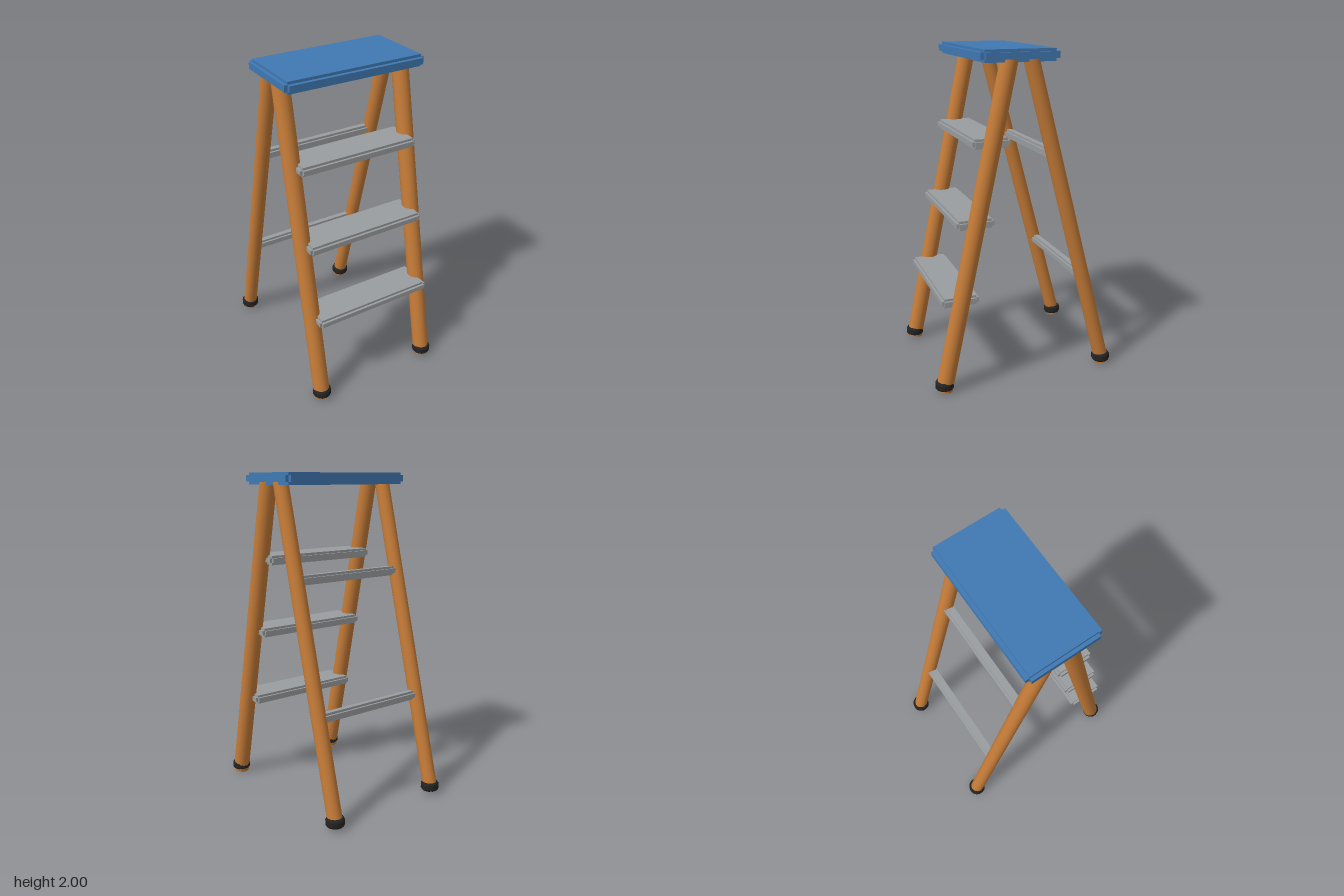
import * as THREE from 'three';

const mat = (name, color) => {
  const m = new THREE.MeshStandardMaterial({ color });
  m.name = name;
  return m;
};

export function createModel() {
  const wood = mat('orange wood', 0xc67c38);
  const blue = mat('blue seat', 0x4079b4);
  const grey = mat('grey tread', 0x9a9d9f);
  const rubber = mat('black rubber', 0x232323);
  const model = new THREE.Group();
  model.name = 'stepladder';

  // Board with stepped edges: three crossing boxes, each full size along one axis
  function board(name, size, step, position, material) {
    const group = new THREE.Group();
    group.name = name;
    for (let axis = 0; axis < 3; axis++) {
      const s = size.map((v, i) => (i === axis ? v : v - 2 * step[i]));
      const mesh = new THREE.Mesh(new THREE.BoxGeometry(...s), material);
      mesh.name = name + 'Layer' + (axis + 1);
      group.add(mesh);
    }
    group.position.set(...position);
    model.add(group);
  }

  // Round leg running from one point to another
  function leg(name, from, to, radius) {
    const dir = to.clone().sub(from);
    const mesh = new THREE.Mesh(new THREE.CylinderGeometry(radius, radius, dir.length(), 20), wood);
    mesh.name = name;
    mesh.position.copy(from).add(to).multiplyScalar(0.5);
    mesh.quaternion.setFromUnitVectors(new THREE.Vector3(0, 1, 0), dir.normalize());
    model.add(mesh);
  }

  // Upright rubber foot with chamfered rims
  const footProfile = [[0, 0.02], [0.05, 0.02], [0.057, 0.03], [0.057, 0.06], [0.048, 0.073], [0, 0.073]]
    .map(([r, y]) => new THREE.Vector2(r, y));
  const footGeometry = new THREE.LatheGeometry(footProfile, 14).toNonIndexed();
  footGeometry.computeVertexNormals();
  function foot(name, x, z) {
    const mesh = new THREE.Mesh(footGeometry, rubber);
    mesh.name = name;
    mesh.position.set(x, 0, z);
    model.add(mesh);
  }

  // Legs and feet, mirrored left and right
  for (const [side, s] of [['left', 1], ['right', -1]]) {
    const x = 0.387 * s;
    leg(side + 'FrontLeg', new THREE.Vector3(x, 0.011, 0.524), new THREE.Vector3(x, 1.95, 0.111), 0.051);
    leg(side + 'BackLeg', new THREE.Vector3(x, 0.012, -0.53), new THREE.Vector3(x, 1.95, -0.016), 0.045);
    foot(side + 'FrontFoot', x, 0.521);
    foot(side + 'BackFoot', x, -0.521);
  }

  // Top seat
  board('seat', [0.886, 0.07, 0.462], [0.02, 0.016, 0.023], [0, 1.965, 0.057], blue);

  // Front treads follow the slope of the front legs
  for (const [i, y] of [0.557, 1.02, 1.484].entries())
    board('tread' + (i + 1), [0.772, 0.056, 0.226], [0.015, 0.014, 0.015], [0, y, 0.309 - (y - 1.02) * 0.2125], grey);

  // Back braces between the back legs
  for (const [i, y] of [0.623, 1.396].entries())
    board('brace' + (i + 1), [0.74, 0.056, 0.06], [0.012, 0.014, 0.013], [0, y, -0.37 + (y - 0.623) * 0.2655], grey);

  return model;
}
